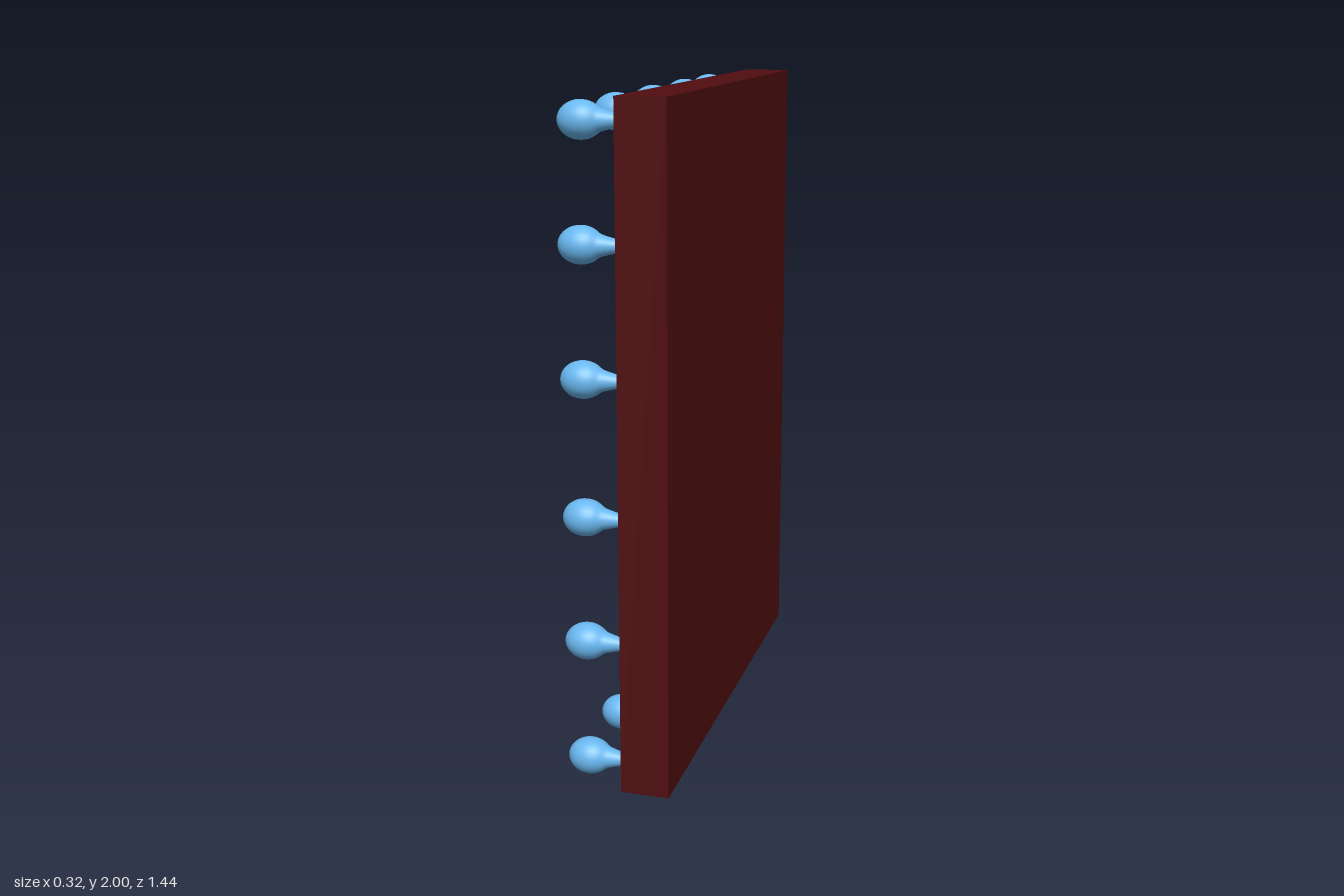
import * as THREE from 'three';

const wood = new THREE.MeshStandardMaterial({ color: 0x500d0f });
const blue = new THREE.MeshStandardMaterial({ color: 0x6ab8f0 });

function box(name, material, min, max) {
  const size = max.map((v, i) => v - min[i]);
  const mesh = new THREE.Mesh(new THREE.BoxGeometry(...size), material);
  mesh.position.set(...max.map((v, i) => (v + min[i]) / 2));
  mesh.name = name;
  return mesh;
}

// Bulb profile: rounded tip, egg-shaped globe, tapering neck; turned to lie along x
function bulbGeometry() {
  const points = [];
  for (let i = 0; i <= 16; i++) {
    const a = (i / 16) * Math.PI * 0.76;
    points.push(new THREE.Vector2(0.054 * Math.sin(a), -0.1 - 0.065 * Math.cos(a)));
  }
  points.push(
    new THREE.Vector2(0.031, -0.043),
    new THREE.Vector2(0.026, -0.025),
    new THREE.Vector2(0.021, -0.005),
    new THREE.Vector2(0.015, 0.02)
  );
  return new THREE.LatheGeometry(points, 28).rotateZ(-Math.PI / 2);
}

export function createModel() {
  const model = new THREE.Group();
  model.name = 'lightedMirror';

  // Backing board and the mirror pane on its -x face
  model.add(box('backingBoard', wood, [0.015, 0, -0.72], [0.16, 2, 0.72]));
  model.add(box('mirrorPane', blue, [-0.012, 0.12, -0.615], [0.02, 1.86, 0.612]));

  // Bulbs around the border
  const bulbs = new THREE.Group();
  bulbs.name = 'bulbs';
  const geometry = bulbGeometry();
  const addBulb = (y, z) => {
    const bulb = new THREE.Mesh(geometry, blue);
    bulb.position.set(0, y, z);
    bulb.name = 'bulb';
    bulbs.add(bulb);
  };

  // Top and bottom rows, corners included
  for (const y of [0.07, 1.932])
    for (const z of [-0.655, -0.352, -0.005, 0.353, 0.655]) addBulb(y, z);

  // Side columns between the corners
  for (const y of [0.44, 0.817, 1.22, 1.597])
    for (const z of [-0.655, 0.667]) addBulb(y, z);

  model.add(bulbs);
  return model;
}
